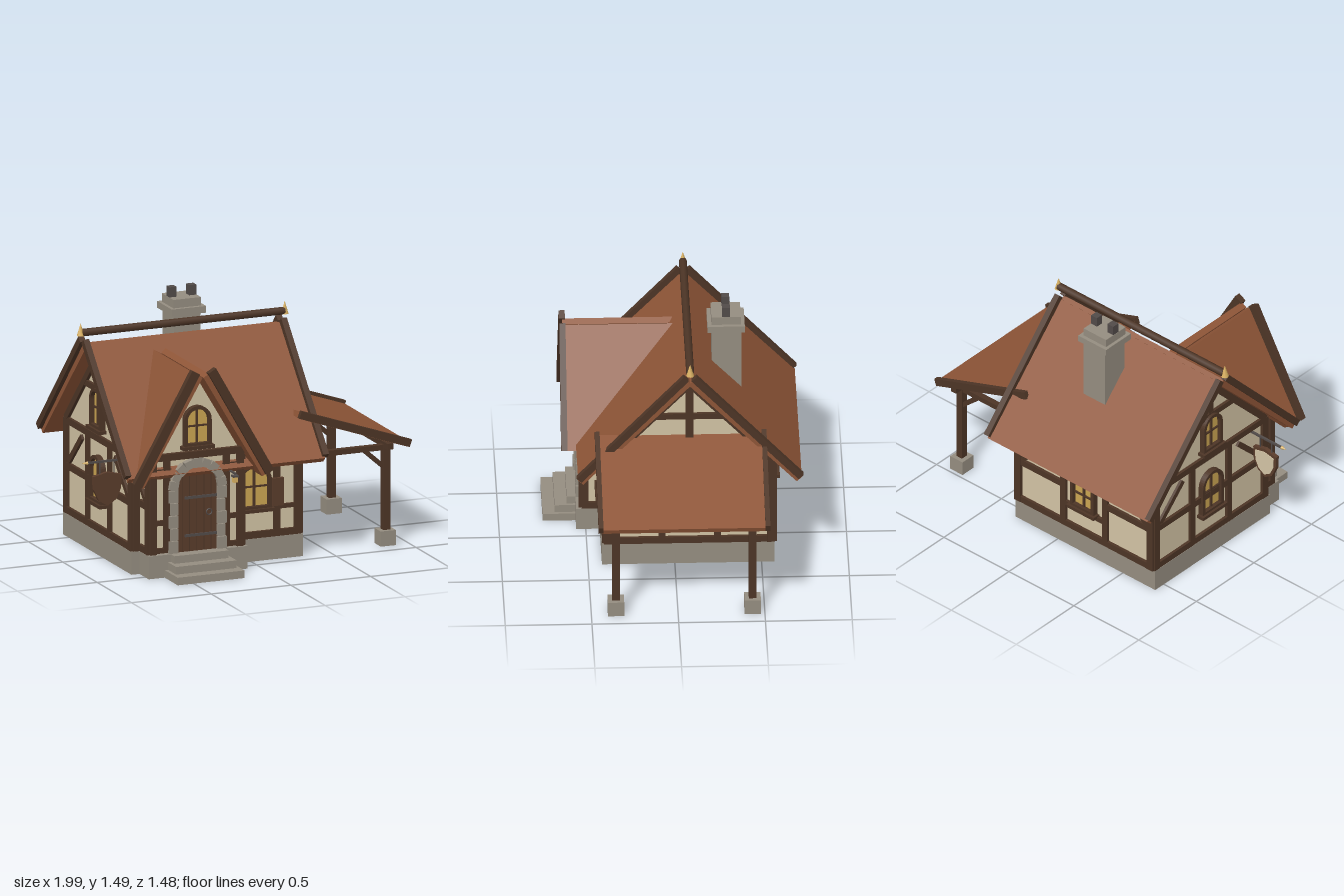
import * as THREE from 'three';

const mat = (name, color) => {
  const m = new THREE.MeshStandardMaterial({ color });
  m.name = name;
  return m;
};
const M = {
  plaster: mat('plaster', 0xd2c3a4), stone: mat('stone', 0x958d80), wood: mat('timber', 0x4d3526),
  roof: mat('roof', 0x8e5537), door: mat('door wood', 0x5a3c2b), glass: mat('window glass', 0xcba552),
  gold: mat('gold', 0xd9b162), iron: mat('iron', 0x524b49),
};
const V = (x, y, z) => new THREE.Vector3(x, y, z);

function add(parent, name, geo, material, x = 0, y = 0, z = 0) {
  const m = new THREE.Mesh(geo, material);
  m.name = name;
  m.position.set(x, y, z);
  parent.add(m);
  return m;
}
// Box given by its minimum and maximum on each axis
function block(p, name, material, x0, x1, y0, y1, z0, z1) {
  return add(p, name, new THREE.BoxGeometry(x1 - x0, y1 - y0, z1 - z0), material,
    (x0 + x1) / 2, (y0 + y1) / 2, (z0 + z1) / 2);
}
// Box running from a to b: w along the side direction, t across
function beam(p, name, material, a, b, w, t, side) {
  const d = b.clone().sub(a), m = add(p, name, new THREE.BoxGeometry(d.length(), t, w), material);
  const X = d.normalize(), Z = side.clone(), Y = Z.clone().cross(X);
  m.quaternion.setFromRotationMatrix(new THREE.Matrix4().makeBasis(X, Y, Z));
  m.position.copy(a).add(b).multiplyScalar(0.5);
  return m;
}
const poly = pts => new THREE.Shape(pts.map(p => new THREE.Vector2(p[0], p[1])));
const extrude = (shape, depth) => new THREE.ExtrudeGeometry(shape, { depth, bevelEnabled: false, curveSegments: 10 });

// Wall-local group: x along the wall, y up, z outward
function wallGroup(root, name, x, z, turn) {
  const g = new THREE.Group();
  g.name = name;
  g.position.set(x, 0, z);
  g.rotation.y = turn;
  root.add(g);
  return g;
}
const timber = (g, x1, y1, x2, y2, w = 0.04, t = 0.03) =>
  beam(g, 'timber', M.wood, V(x1, y1, 0.003), V(x2, y2, 0.003), t, w, V(0, 0, 1));

function opening(w, h, arched, S = THREE.Shape) {
  const s = new S(), r = w / 2;
  s.moveTo(-r, 0);
  s.lineTo(r, 0);
  if (arched) {
    s.lineTo(r, h - r);
    s.absarc(0, h - r, r, 0, Math.PI, false);
  } else {
    s.lineTo(r, h);
    s.lineTo(-r, h);
  }
  s.closePath();
  return s;
}
function windowUnit(g, x, y, w, h, arched) {
  const win = new THREE.Group();
  win.name = 'window';
  win.position.set(x, y, 0);
  g.add(win);
  const f = 0.02, frame = opening(w, h, arched);
  const hole = opening(w - 2 * f, h - 2 * f, arched, THREE.Path);
  frame.holes.push(new THREE.Path(hole.getPoints(10).map(p => p.add(new THREE.Vector2(0, f)))));
  add(win, 'windowFrame', extrude(frame, 0.035), M.wood);
  add(win, 'windowGlass', extrude(opening(w - f, h - f, arched), 0.008), M.glass, 0, f / 2, 0.002);
  block(win, 'mullion', M.wood, -0.006, 0.006, f, h - f, 0, 0.02);
  for (const k of arched ? [0.5] : [0.36, 0.66])
    block(win, 'glazingBar', M.wood, -w / 2 + f, w / 2 - f, h * k - 0.005, h * k + 0.005, 0, 0.02);
  block(win, 'windowSill', M.wood, -w / 2 - 0.015, w / 2 + 0.015, -0.015, 0.005, 0, 0.05);
}

export function createModel() {
  const root = new THREE.Group();
  root.name = 'cottage';
  const RZ = -0.085, PX = -0.39;      // main ridge z, porch ridge x
  const sideX = V(1, 0, 0), sideZ = V(0, 0, 1);

  // Stone base and steps
  block(root, 'foundation', M.stone, -0.75, 0.325, 0, 0.135, -0.575, 0.42);
  block(root, 'porchFoundation', M.stone, -0.7, -0.08, 0, 0.135, 0.4, 0.555);
  [[0.21, 0.745, 0], [0.19, 0.675, 0.045], [0.17, 0.605, 0.09]].forEach(([w, z, y]) =>
    block(root, 'step', M.stone, PX - w, PX + w, y, y + 0.045, 0.5, z));

  // Plaster bodies
  const body = extrude(poly([[-0.485, 0.13], [0.485, 0.13], [0.485, 0.69], [0, 1.205], [-0.485, 0.69]]), 1.04);
  add(root, 'mainWalls', body, M.plaster, -0.73, 0, RZ).rotation.y = Math.PI / 2;
  add(root, 'porchWalls', extrude(poly([[-0.29, 0.13], [0.29, 0.13], [0.29, 0.68], [0, 1.17], [-0.29, 0.68]]), 0.42),
    M.plaster, PX, 0, 0.1);

  // Gable ends
  const right = wallGroup(root, 'rightWall', 0.31, RZ, Math.PI / 2);
  const left = wallGroup(root, 'leftWall', -0.73, RZ, -Math.PI / 2);
  for (const g of [right, left]) {
    for (const y of [0.155, 0.42, 0.69]) timber(g, -0.485, y, 0.485, y);
    for (const s of [-1, 1]) {
      timber(g, s * 0.47, 0.135, s * 0.47, 0.7, 0.045, 0.034);
      timber(g, s * 0.16, 0.155, s * 0.16, 0.69);
      timber(g, s * 0.45, 0.43, s * 0.24, 0.64, 0.034, 0.026);
      timber(g, s * 0.47, 0.7, 0, 1.195, 0.04, 0.034);
    }
    timber(g, -0.2, 0.98, 0.2, 0.98, 0.036);
  }
  timber(right, 0, 0.69, 0, 1.2, 0.045, 0.036);
  timber(right, -0.07, 0.6, 0.1, 0.43, 0.034, 0.026);
  timber(left, 0, 1, 0, 1.2);
  windowUnit(left, 0, 0.31, 0.18, 0.28, true);
  windowUnit(left, 0, 0.75, 0.16, 0.24, true);

  // Back wall
  const back = wallGroup(root, 'backWall', -0.21, -0.57, Math.PI);
  for (const y of [0.155, 0.69]) timber(back, -0.525, y, 0.525, y);
  for (const s of [-1, 1]) {
    timber(back, s * 0.51, 0.135, s * 0.51, 0.7, 0.045, 0.034);
    timber(back, s * 0.16, 0.155, s * 0.16, 0.69);
    timber(back, s * 0.16, 0.42, s * 0.51, 0.42);
    timber(back, s * 0.49, 0.43, s * 0.24, 0.68, 0.034, 0.026);
  }
  timber(back, -0.16, 0.3, 0.16, 0.3, 0.03);
  windowUnit(back, 0, 0.32, 0.18, 0.27, false);

  // Front wall beside the porch
  const front = wallGroup(root, 'frontWall', 0, 0.4, 0);
  timber(front, -0.73, 0.155, 0.31, 0.155);
  timber(front, -0.73, 0.67, 0.31, 0.67);
  timber(front, -0.1, 0.31, 0.31, 0.31, 0.025);
  for (const x of [-0.715, -0.085, 0.165, 0.295]) timber(front, x, 0.135, x, 0.69);
  windowUnit(front, 0.02, 0.31, 0.21, 0.27, true);
  block(front, 'shutter', M.door, 0.13, 0.2, 0.32, 0.485, 0.015, 0.035);

  // Porch front and sides
  const porch = wallGroup(root, 'porchFront', PX, 0.52, 0);
  timber(porch, -0.3, 0.71, 0.3, 0.71, 0.04, 0.05);
  for (const s of [-1, 1]) {
    timber(porch, s * 0.272, 0.135, s * 0.272, 0.71, 0.042, 0.036);
    timber(porch, s * 0.187, 0.155, s * 0.187, 0.71);
    for (const y of [0.155, 0.32, 0.625]) timber(porch, s * 0.16, y, s * 0.28, y, 0.03, 0.026);
    const flank = wallGroup(root, 'porchFlank', PX + s * 0.29, 0.46, s * Math.PI / 2);
    for (const y of [0.155, 0.42, 0.65]) timber(flank, -0.06, y, 0.06, y);
    timber(flank, -s * 0.045, 0.135, -s * 0.045, 0.68);
    timber(flank, -s * 0.04, 0.43, s * 0.06, 0.53, 0.03, 0.026);
  }
  windowUnit(porch, 0, 0.76, 0.17, 0.24, true);

  // Arched door with iron straps and a ring
  add(porch, 'door', extrude(opening(0.27, 0.51, true), 0.012), M.door, 0, 0.135, 0);
  for (let i = -2; i <= 2; i++) block(porch, 'plankSeam', M.wood, i * 0.045 - 0.002, i * 0.045 + 0.002, 0.135, 0.61, 0.008, 0.014);
  for (const y of [0.23, 0.455]) block(porch, 'doorStrap', M.iron, -0.075, 0.13, y - 0.008, y + 0.008, 0.01, 0.019);
  add(porch, 'doorRing', new THREE.TorusGeometry(0.017, 0.004, 6, 14), M.iron, 0.075, 0.36, 0.02);
  for (const s of [-1, 1]) for (let i = 0; i < 5; i++) {
    const w = i % 2 ? 0.045 : 0.055;
    block(porch, 'jambStone', M.stone, s * (0.125 + w / 2) - w / 2, s * (0.125 + w / 2) + w / 2,
      0.137 + i * 0.075, 0.208 + i * 0.075, 0, 0.035);
  }
  for (let i = 0; i < 9; i++) {
    const a = Math.PI * (i + 0.5) / 9, t = i % 2 ? 0.048 : 0.056;
    add(porch, 'archStone', new THREE.BoxGeometry(t, 0.052, 0.04), M.stone,
      0.152 * Math.cos(a), 0.51 + 0.152 * Math.sin(a), 0.017).rotation.z = a;
  }

  // Lantern by the door
  block(root, 'lanternArm', M.iron, -0.188, -0.176, 0.585, 0.595, 0.53, 0.615);
  block(root, 'lanternCap', M.iron, -0.2, -0.164, 0.57, 0.58, 0.59, 0.626);
  block(root, 'lantern', M.gold, -0.196, -0.168, 0.538, 0.57, 0.594, 0.622);

  // Main roof
  for (const s of [-1, 1]) {
    beam(root, 'roofSlope', M.roof, V(-0.21, 1.25, RZ + s * 0.005), V(-0.21, 0.595, RZ + s * 0.63), 1.23, 0.04, sideX);
    for (const x of [-0.833, 0.407])
      beam(root, 'bargeBoard', M.wood, V(x, 1.285, RZ + s * 0.023), V(x, 0.62, RZ + s * 0.64), 0.036, 0.04, sideX);
  }
  add(root, 'ridgeBeam', new THREE.CylinderGeometry(0.023, 0.023, 1.27, 8), M.wood, -0.21, 1.33, RZ).rotation.z = Math.PI / 2;
  for (const x of [-0.852, 0.428]) add(root, 'finial', new THREE.ConeGeometry(0.023, 0.075, 8), M.gold, x, 1.35, RZ);

  // Porch roof, cut along the valleys
  for (const s of [-1, 1]) {
    const a = V(PX + s * 0.02, 1.195, 0), X = V(s * 0.37, -0.625, 0), L = X.length();
    X.normalize();
    const geo = extrude(poly([[0, -0.03], [L, 0.53], [L, 0.625], [0, 0.625]]), 0.04).translate(0, 0, -0.02);
    geo.applyMatrix4(new THREE.Matrix4().makeBasis(X, sideZ, X.clone().cross(sideZ)).setPosition(a));
    add(root, 'porchRoofSlope', geo, M.roof);
    beam(root, 'porchBargeBoard', M.wood, V(PX + s * 0.05, 1.225, 0.627), V(PX + s * 0.414, 0.585, 0.627), 0.036, 0.055, sideZ);
  }

  // Lean-to shelter
  beam(root, 'shelterRoof', M.roof, V(0.3, 0.838, -0.035), V(0.98, 0.602, -0.035), 0.95, 0.03, sideZ);
  for (const z of [-0.515, 0.447])
    beam(root, 'shelterBargeBoard', M.wood, V(0.293, 0.852, z), V(0.985, 0.612, z), 0.028, 0.045, sideZ);
  for (const z of [-0.43, 0.358]) {
    block(root, 'postStone', M.stone, 0.82, 0.915, 0, 0.09, z - 0.047, z + 0.047);
    block(root, 'shelterPost', M.wood, 0.847, 0.89, 0.085, 0.6, z - 0.022, z + 0.022);
    block(root, 'shelterTie', M.wood, 0.31, 0.89, 0.565, 0.597, z - 0.018, z + 0.018);
    beam(root, 'shelterBrace', M.wood, V(0.73, 0.575, z), V(0.865, 0.455, z), 0.026, 0.026, sideZ);
  }
  block(root, 'shelterPlate', M.wood, 0.85, 0.888, 0.58, 0.615, -0.5, 0.43);

  // Chimney
  block(root, 'chimneyShaft', M.stone, -0.205, -0.04, 0.85, 1.34, -0.395, -0.225);
  block(root, 'chimneyCap', M.stone, -0.23, -0.015, 1.335, 1.375, -0.415, -0.2);
  block(root, 'chimneyTop', M.stone, -0.21, -0.038, 1.375, 1.425, -0.393, -0.223);
  for (const x of [-0.187, -0.062]) block(root, 'chimneyPot', M.iron, x - 0.022, x + 0.022, 1.42, 1.485, -0.33, -0.285);

  // Hanging shield sign
  const sign = wallGroup(root, 'hangingSign', -0.845, 0.28, 0);
  block(sign, 'signArm', M.iron, -0.125, 0.12, 0.648, 0.66, -0.006, 0.006);
  add(sign, 'signTip', new THREE.ConeGeometry(0.011, 0.035, 8), M.gold, -0.138, 0.654, 0).rotation.z = Math.PI / 2;
  for (const x of [-0.045, 0.045]) block(sign, 'signHanger', M.iron, x - 0.003, x + 0.003, 0.57, 0.65, -0.003, 0.003);
  const shield = k => poly([[-0.088, 0.08], [0, 0.1], [0.088, 0.08], [0.085, 0], [0.055, -0.065], [0, -0.1],
    [-0.055, -0.065], [-0.085, 0]].map(p => [p[0] * k, p[1] * k]));
  add(sign, 'signBoard', extrude(shield(1), 0.024), M.door, 0, 0.49, -0.012);
  add(sign, 'signFace', extrude(shield(0.8), 0.006), M.plaster, 0, 0.49, -0.016);
  return root;
}
